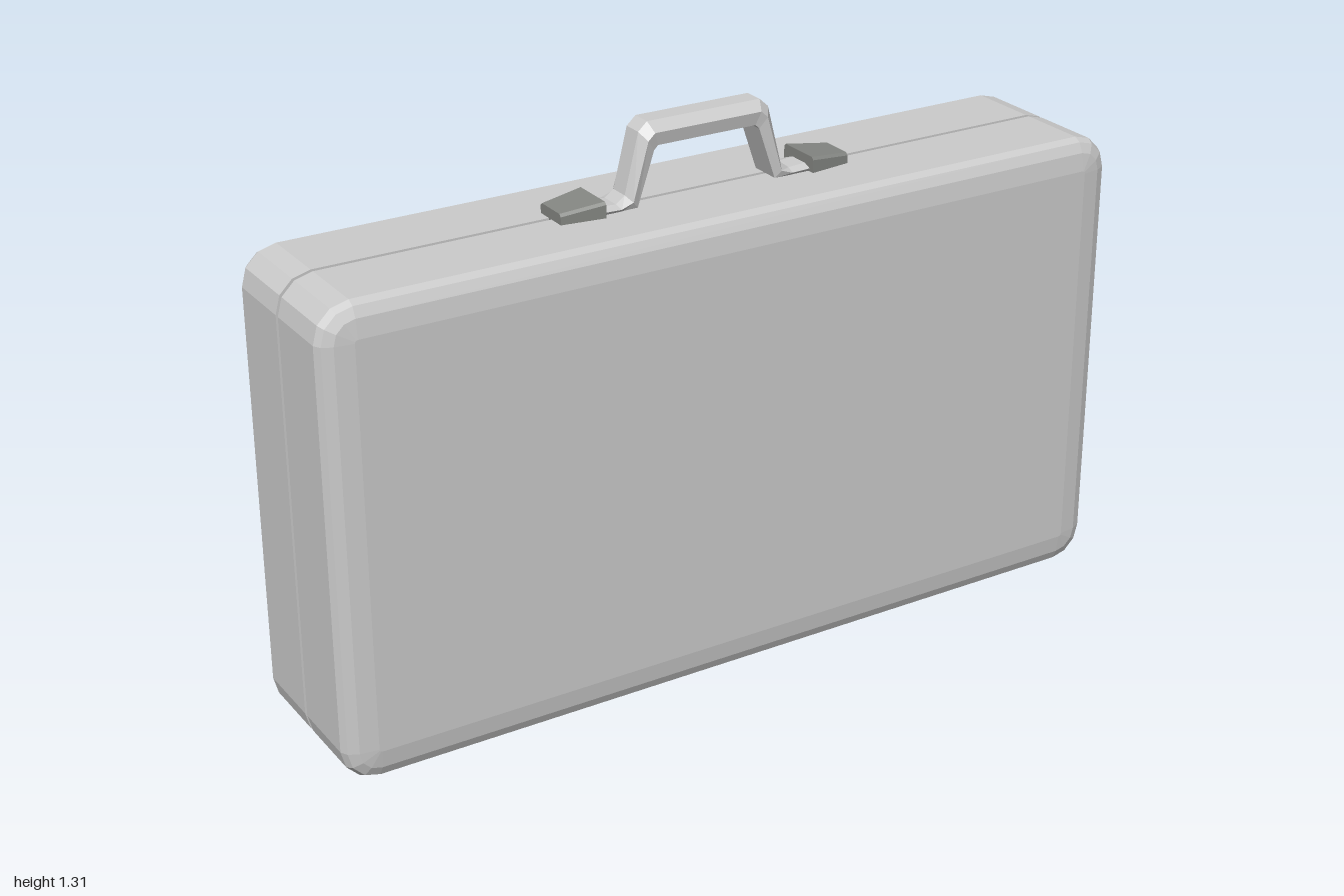
import * as THREE from 'three';

// Solid through rings of equal point count, with fan caps at both ends.
function loft(rings) {
  const n = rings[0].length;
  const pos = rings.flat().flat();
  const idx = [];
  for (let r = 0; r < rings.length - 1; r++) {
    for (let i = 0; i < n; i++) {
      const a = r * n + i, b = r * n + (i + 1) % n;
      idx.push(a, b, b + n, a, b + n, a + n);
    }
  }
  const end = (rings.length - 1) * n;
  for (let i = 1; i < n - 1; i++) {
    idx.push(0, i + 1, i, end, end + i, end + i + 1);
  }
  // Turn all faces outward if the rings ran the other way round
  const at = (i) => new THREE.Vector3().fromArray(pos, i * 3);
  let volume = 0;
  for (let i = 0; i < idx.length; i += 3) {
    volume += at(idx[i]).dot(at(idx[i + 1]).cross(at(idx[i + 2])));
  }
  if (volume < 0) idx.reverse();
  const geo = new THREE.BufferGeometry();
  geo.setAttribute('position', new THREE.Float32BufferAttribute(pos, 3));
  geo.setIndex(idx);
  geo.computeVertexNormals();
  return geo;
}

// Rounded rectangle outline of the case, shrunk by inset
function caseRing(z, inset) {
  const w = 1, h = 0.5525, cy = 0.5725, radius = 0.082, steps = 3;
  const ring = [];
  for (let c = 0; c < 4; c++) {
    const sx = c === 0 || c === 3 ? 1 : -1, sy = c < 2 ? 1 : -1;
    for (let s = 0; s <= steps; s++) {
      const a = (c + s / steps) * Math.PI / 2;
      ring.push([
        sx * (w - radius) + Math.cos(a) * (radius - inset),
        cy + sy * (h - radius) + Math.sin(a) * (radius - inset),
        z,
      ]);
    }
  }
  return ring;
}

export function createModel() {
  const model = new THREE.Group();
  const grey = new THREE.MeshStandardMaterial({ color: 0xcccccc, flatShading: true });
  const dark = new THREE.MeshStandardMaterial({ color: 0x858783, flatShading: true });
  const add = (name, geo, mat, x = 0, y = 0, z = 0) => {
    const mesh = new THREE.Mesh(geo, mat);
    mesh.name = name;
    mesh.position.set(x, y, z);
    model.add(mesh);
  };

  // Two half shells with softened outer edges, separated by a narrow seam
  const edge = [[0.178, 0], [0.195, 0.009], [0.206, 0.032], [0.212, 0.075]];
  for (const [name, side, seam] of [['frontShell', 1, 0.007], ['backShell', -1, -0.004]]) {
    const rings = [caseRing(seam, 0), ...edge.map(([z, inset]) => caseRing(side * z, inset))];
    add(name, loft(rings), grey);
  }

  // Core closing the seam from inside
  add('seamCore', new THREE.BoxGeometry(1.86, 1.035, 0.03), grey, 0, 0.5725, 0.001);

  // Handle: stations of [outer x, outer y, inner x, inner y] from one end to the middle
  const half = [
    [0.275, 1.14, 0.275, 1.122],
    [0.222, 1.137, 0.215, 1.122],
    [0.2, 1.153, 0.176, 1.124],
    [0.165, 1.29, 0.134, 1.247],
    [0.143, 1.31, 0.124, 1.257],
  ];
  const mirrored = half.map(([a, b, c, d]) => [-a, b, -c, d]).reverse();
  // Six-sided section: [share of the way inward, z]
  const section = [[0, 0.024], [0.42, 0.045], [1, 0.038], [1, -0.038], [0.42, -0.045], [0, -0.024]];
  const handleRings = [...half, ...mirrored].map(([ox, oy, ix, iy]) =>
    section.map(([t, z]) => [ox + (ix - ox) * t, oy + (iy - oy) * t, z + 0.004]));
  add('handle', loft(handleRings), grey);

  // Tapered clips holding the handle ends
  for (const [name, s] of [['leftClip', 1], ['rightClip', -1]]) {
    const rings = [[0.265, 0.058, 1.161], [0.368, 0.044, 1.149]].map(([x, w, top]) =>
      [[w, 1.12], [w, top - 0.006], [w - 0.006, top], [-w + 0.006, top], [-w, top - 0.006], [-w, 1.12]]
        .map(([z, y]) => [s * x, y, z + 0.004]));
    add(name, loft(rings), dark);
  }

  // Flat feet under the case
  for (const [name, x] of [['leftFoot', 0.475], ['rightFoot', -0.515]]) {
    add(name, new THREE.BoxGeometry(0.18, 0.025, 0.115), dark, x, 0.0125, -0.007);
  }

  return model;
}
